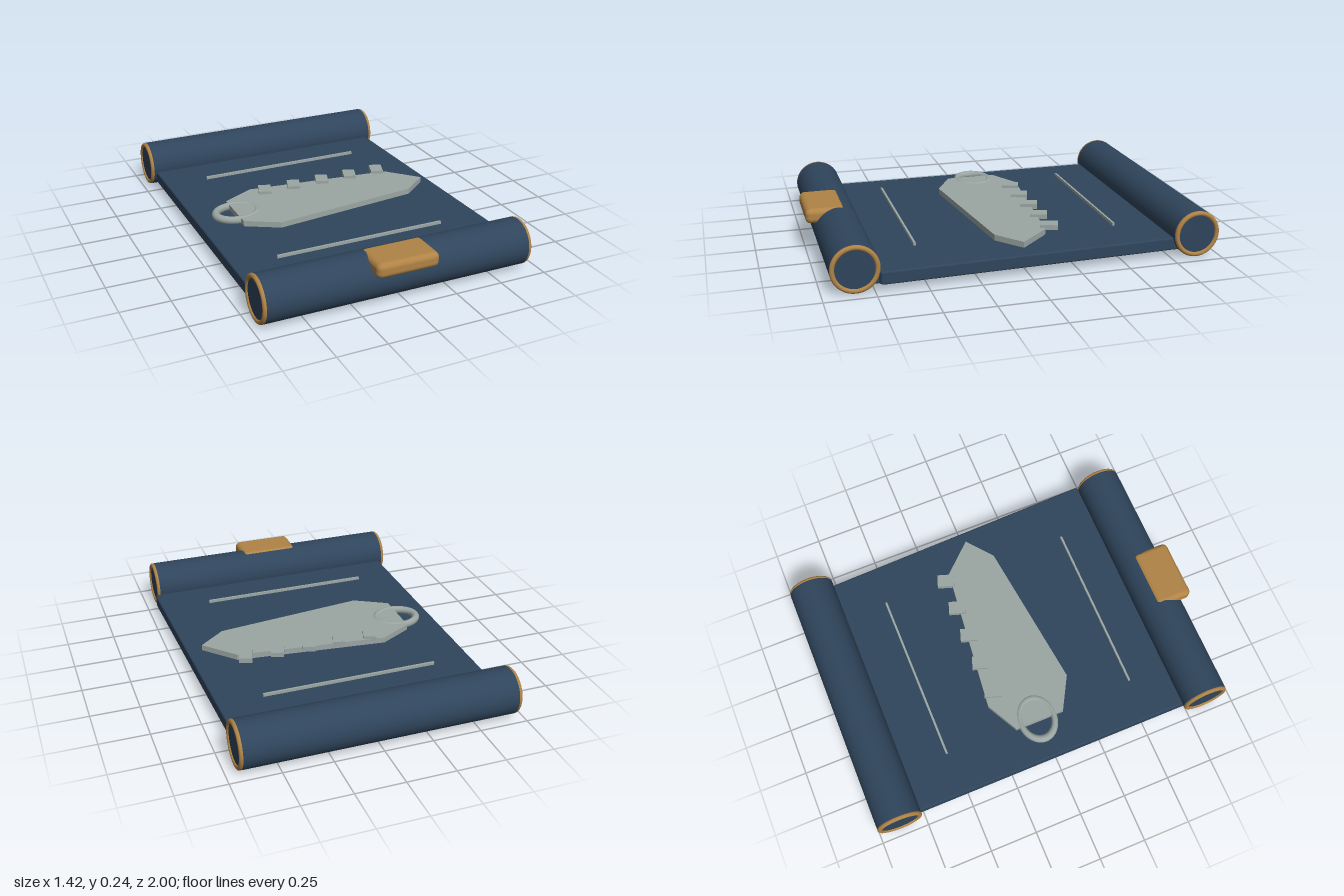
import * as THREE from 'three';
import { RoundedBoxGeometry } from 'three/addons/geometries/RoundedBoxGeometry.js';

const material = (name, color) => {
  const m = new THREE.MeshStandardMaterial({ color });
  m.name = name;
  return m;
};

// Flat plate with outline [x, z], spanning heights y0 to y1
function plate(points, y0, y1, bevel) {
  const shape = new THREE.Shape(points.map(([x, z]) => new THREE.Vector2(x, z)));
  const g = new THREE.ExtrudeGeometry(shape, {
    depth: y1 - y0 - 2 * bevel,
    bevelEnabled: bevel > 0,
    bevelThickness: bevel,
    bevelSize: bevel,
    bevelOffset: -bevel,
    bevelSegments: 3,
  });
  g.rotateX(Math.PI / 2);
  return g.translate(0, y1 - bevel, 0);
}

export function createModel() {
  const navy = material('navy cloth', 0x2f455c);
  const tan = material('tan leather', 0xb08345);
  const grey = material('pale grey metal', 0x9ba6a3);
  const model = new THREE.Group();
  model.name = 'scroll';

  const add = (name, geometry, mat, parent = model) => {
    const mesh = new THREE.Mesh(geometry, mat);
    mesh.name = name;
    parent.add(mesh);
    return mesh;
  };

  // Sheet, slightly wider towards the front on its left
  add('sheet', plate([
    [-0.685, -0.82], [0.662, -0.82], [0.708, 0.7], [0.706, 0.72],
    [0.685, 0.732], [0.685, 0.8], [-0.685, 0.8],
  ], 0.04, 0.105, 0.008), navy);

  // Rolled ends with trim rings
  const R = 0.119, half = 0.698;
  const profile = [
    [0, -half], [R - 0.008, -half], [R - 0.002, -half + 0.004], [R, -half + 0.012],
    [R, half - 0.012], [R - 0.002, half - 0.004], [R - 0.008, half], [0, half],
  ].map(([r, y]) => new THREE.Vector2(r, y));
  // Separate strips keep the flat ends and the long side cleanly shaded
  const strips = [[0, 2], [1, 4], [3, 5], [4, 7], [6, 8]];
  for (const [name, z] of [['frontRoll', 0.84], ['backRoll', -0.88]]) {
    const roll = new THREE.Group();
    roll.name = name;
    roll.position.set(-0.01, 0.123, z);
    for (const [a, b] of strips) {
      const g = new THREE.LatheGeometry(profile.slice(a, b), 64).rotateZ(-Math.PI / 2);
      add('rollSurface', g, navy, roll);
    }
    for (const side of [-1, 1]) {
      const ring = add('endTrim', new THREE.TorusGeometry(0.107, 0.0125, 12, 64), tan, roll);
      ring.rotation.y = Math.PI / 2;
      ring.position.x = side * (half - 0.004);
    }
    model.add(roll);
  }

  // Clasp on the front roll
  add('clasp', new RoundedBoxGeometry(0.325, 0.077, 0.2, 5, 0.028), tan)
    .position.set(-0.01, 0.207, 0.9);

  // Pointed emblem
  add('emblemPlate', plate([
    [-0.487, -0.148], [-0.317, -0.238], [0.466, -0.153], [0.614, 0.005],
    [0.476, 0.116], [-0.317, 0.212], [-0.487, 0.116],
  ], 0.115, 0.145, 0), grey);

  // Tilted teeth along its back edge
  for (let i = 0; i < 5; i++) {
    const tooth = add('emblemTooth', new THREE.BoxGeometry(0.068, 0.026, 0.09), grey);
    tooth.position.set(-0.25 + i * 0.17, 0.148, -0.185);
    tooth.rotation.y = -0.32;
  }

  // Oval ring at its blunt end
  const ring = add('emblemRing',
    new THREE.TorusGeometry(0.112, 0.021, 14, 48).rotateX(Math.PI / 2), grey);
  ring.scale.z = 0.8;
  ring.position.set(-0.472, 0.129, -0.025);

  // Thin border bars
  for (const z of [-0.53, 0.51]) {
    add('borderBar', new THREE.BoxGeometry(0.91, 0.015, 0.011), grey)
      .position.set(-0.01, 0.124, z);
  }

  return model;
}
